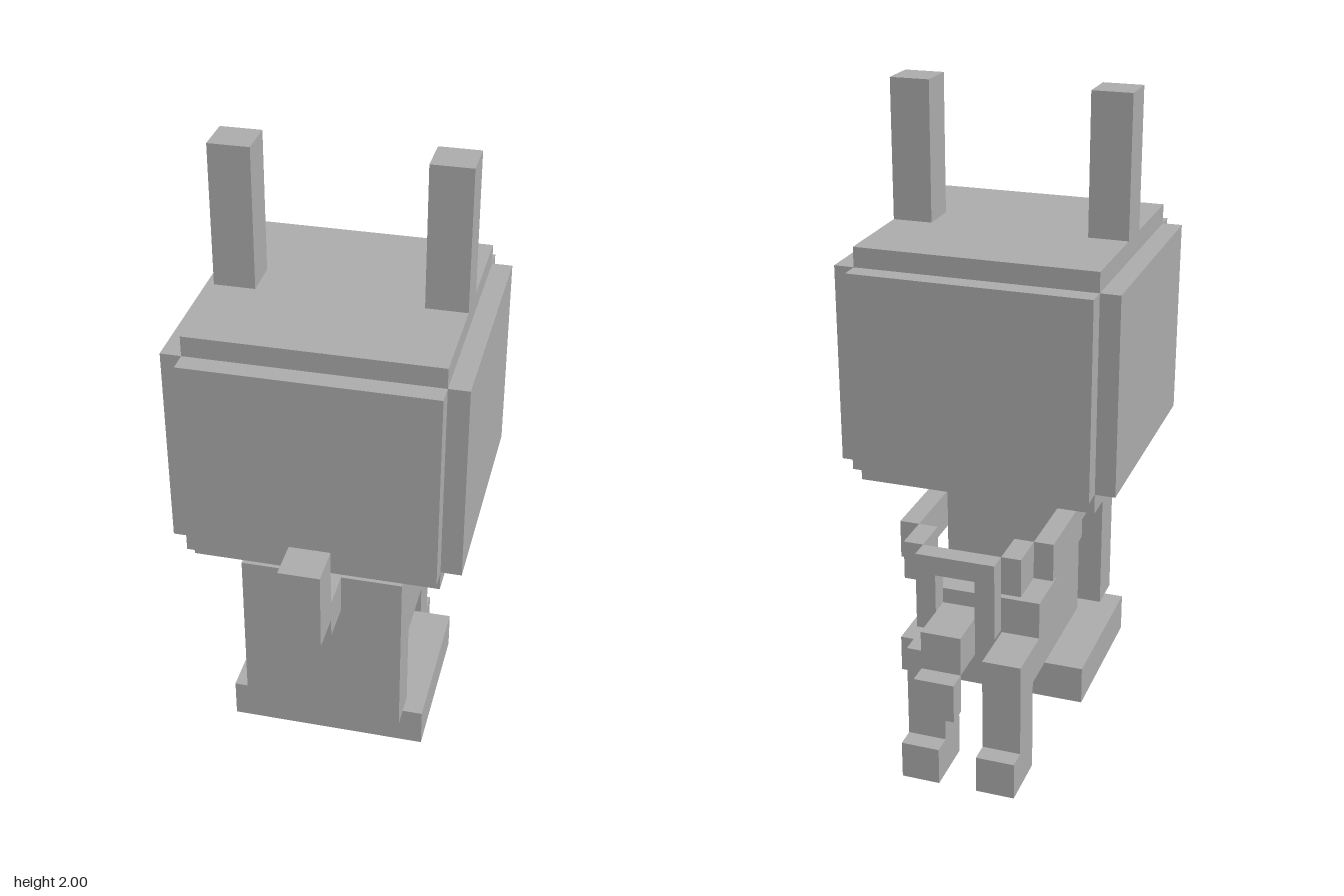
import * as THREE from 'three';

// One voxel is 1/17 of a unit; the whole figure is 34 voxels tall.
const U = 1 / 17;

export function createModel() {
  const model = new THREE.Group();
  const grey = new THREE.MeshStandardMaterial({ color: 0xaaaaaa });
  grey.name = 'grey';

  // Box given by its voxel limits on each axis
  const box = (name, [x0, x1], [y0, y1], [z0, z1]) => {
    const mesh = new THREE.Mesh(
      new THREE.BoxGeometry((x1 - x0) * U, (y1 - y0) * U, (z1 - z0) * U), grey);
    mesh.position.set((x0 + x1) / 2 * U, (y0 + y1) / 2 * U, (z0 + z1) / 2 * U);
    mesh.name = name;
    model.add(mesh);
  };
  // The same box on both sides of the body
  const pair = (name, [x0, x1], y, z) => {
    box(name + 'Left', [x0, x1], y, z);
    box(name + 'Right', [-x1, -x0], y, z);
  };

  // Head: cube core with a raised plate on each upright side, and ears
  box('head', [-6, 6], [15, 27], [-4.5, 7.5]);
  box('facePlate', [-6, 6], [16, 26], [-5.5, -4.5]);
  box('headBackPlate', [-6, 6], [16, 26], [7.5, 8.5]);
  pair('cheekPlate', [6, 7], [16, 26], [-4.5, 7.5]);
  pair('ear', [4, 6], [27, 34], [0.5, 2.5]);
  box('neck', [-1, 1], [14, 15], [0.5, 2.5]);

  // Torso, lap and seat
  box('torso', [-3, 3], [5, 14], [-0.5, 3.5]);
  box('lap', [-3, 3], [5, 9], [-3.5, -0.5]);
  box('seat', [-5, 5], [3, 5], [-2.5, 5.5]);

  // Back panel with its two connecting bars, and the upturned tail
  box('backPanel', [-4, 4], [5, 14], [4.5, 6.5]);
  box('upperBar', [-3, 3], [13, 14], [3.5, 4.5]);
  box('lowerBar', [-3, 3], [11, 12], [3.5, 4.5]);
  box('tailBase', [-1, 1], [12, 14], [6.5, 8.5]);
  box('tailTip', [-1, 1], [13, 17], [8.5, 10.5]);

  // Legs
  pair('thigh', [1, 3], [5, 7], [-4.5, -3.5]);
  pair('shin', [1, 3], [0, 7], [-6.5, -4.5]);
  pair('foot', [1, 3], [0, 2], [-7.5, -6.5]);

  // Arms reaching forward
  pair('shoulder', [3, 4], [12, 14], [0.5, 2.5]);
  pair('arm', [3, 4], [11, 13], [-4.5, 0.5]);
  pair('hand', [2, 3], [11, 13], [-6.5, -4.5]);

  // Square ring held in the hands, with a two-step handle
  box('ringTop', [-2, 2], [12, 13], [-7.5, -6.5]);
  box('ringBottom', [-2, 2], [9, 10], [-7.5, -6.5]);
  pair('ringSide', [1, 2], [10, 12], [-7.5, -6.5]);
  box('handleBase', [-1, 1], [8, 10], [-9.5, -7.5]);
  box('handleTip', [-1, 1], [6, 8], [-10.5, -9.5]);

  return model;
}
